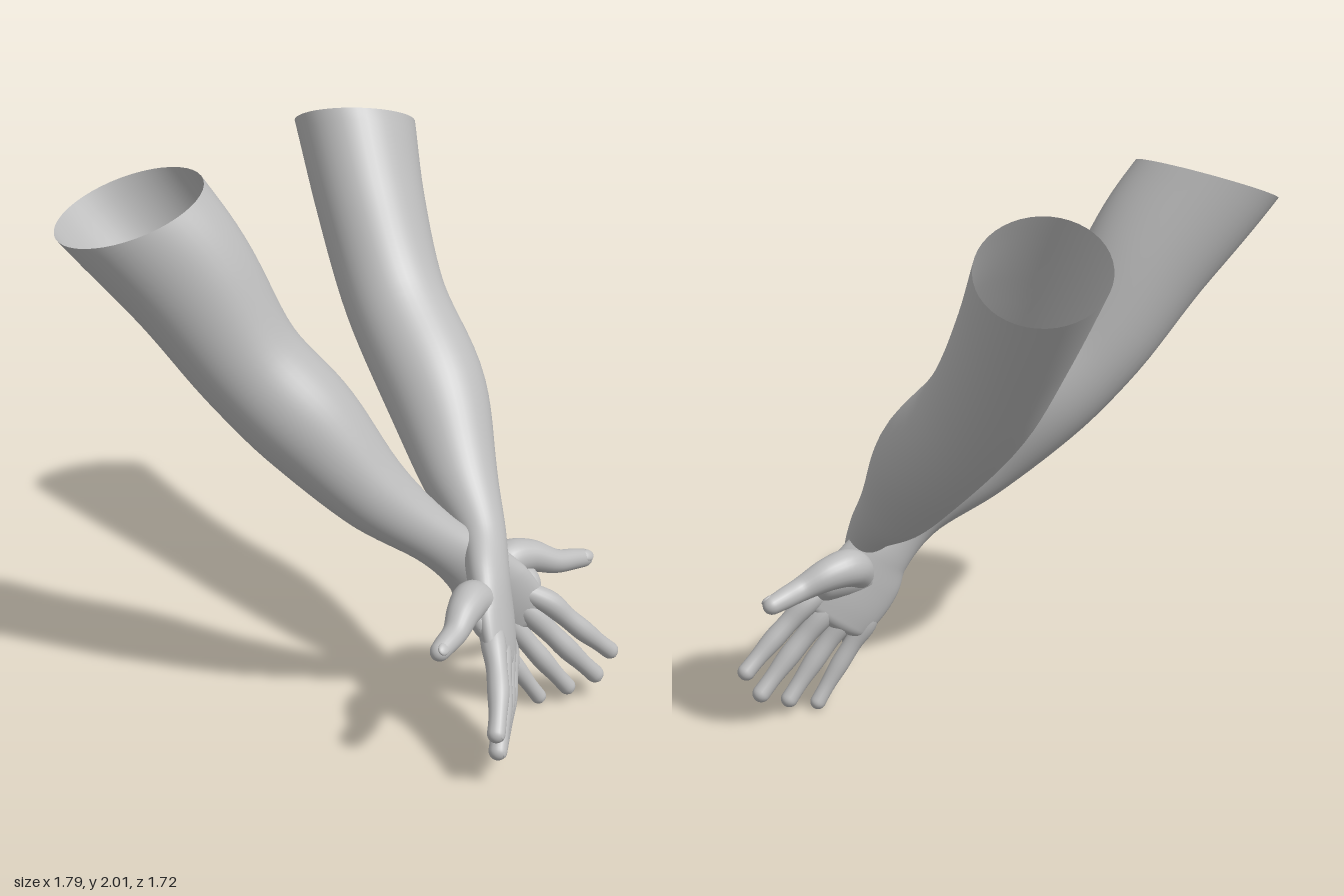
import * as THREE from 'three';

const V = (x, y, z) => new THREE.Vector3(x, y, z);

// Lofts elliptical rings along points; widths and depths are the half sizes at each point.
// "wide" sets the width axis, "mouth" the plane of an open first ring; the far end is rounded.
function loft(points, widths, depths, wide, rings, sides, mouth) {
  const path = new THREE.CatmullRomCurve3(points);
  const size = new THREE.CatmullRomCurve3(
    widths.map((w, i) => V(w, depths[i], 0)), false, 'catmullrom');
  const end = path.getPoint(1);
  const pos = [], index = [];
  for (let i = 0; i <= rings; i++) {
    const u = Math.sin((i / rings) * Math.PI / 2);
    const p = path.getPoint(u);
    const t = path.getTangent(u);
    if (mouth) t.lerp(mouth, Math.max(0, 1 - 7 * u)).normalize();
    const w = wide.clone().addScaledVector(t, -wide.dot(t)).normalize();
    const b = t.clone().cross(w);
    const r = size.getPoint(u);
    const d = Math.min(1, p.distanceTo(end) / r.y);
    const k = Math.max(0.02, Math.sqrt(1 - (1 - d) ** 2));
    for (let j = 0; j < sides; j++) {
      const q = (j / sides) * Math.PI * 2;
      const v = p.clone()
        .addScaledVector(w, r.x * k * Math.cos(q))
        .addScaledVector(b, r.y * k * Math.sin(q));
      pos.push(v.x, v.y, v.z);
      if (i < rings) {
        const a = i * sides + j, n = i * sides + (j + 1) % sides;
        index.push(a, n, a + sides, n, n + sides, a + sides);
      }
    }
  }
  const g = new THREE.BufferGeometry();
  g.setAttribute('position', new THREE.Float32BufferAttribute(pos, 3));
  g.setIndex(index);
  g.computeVertexNormals();
  return g;
}

// Half sizes from the open end to the knuckles, shared by both arms
const ARM_WIDTHS = [0.265, 0.232, 0.195, 0.188, 0.138, 0.098, 0.118, 0.142, 0.138, 0.112];
const ARM_DEPTHS = [0.218, 0.198, 0.187, 0.187, 0.138, 0.085, 0.07, 0.062, 0.052, 0.035];
const THUMB_RADII = [0.05, 0.068, 0.06, 0.044, 0.038, 0.03];

// Each finger: its radius and how far it reaches past the line from index to little finger
const FINGERS = [
  { name: 'indexFinger', radius: 0.037, reach: 0 },
  { name: 'middleFinger', radius: 0.038, reach: 0.055 },
  { name: 'ringFinger', radius: 0.036, reach: 0.033 },
  { name: 'littleFinger', radius: 0.033, reach: 0 },
];

function addMesh(parent, name, geometry, material) {
  const mesh = new THREE.Mesh(geometry, material);
  mesh.name = name;
  parent.add(mesh);
  return mesh;
}

// Thin oval nail lying on the back of a fingertip
function addNail(parent, name, tip, dir, up, r, skin) {
  const x = dir.clone().cross(up).normalize();
  const y = x.clone().cross(dir).normalize();
  const nail = addMesh(parent, name, new THREE.SphereGeometry(1, 16, 10), skin);
  nail.quaternion.setFromRotationMatrix(
    new THREE.Matrix4().makeBasis(x, y, dir.clone().negate()));
  nail.scale.set(r * 0.66, r * 0.32, r * 0.85);
  nail.position.copy(tip).addScaledVector(dir, -r * 1.05).addScaledVector(y, r * 0.76);
}

// limb: open end to palm heel; knuckles and tips: [index, little finger]
function buildArm(name, { mouth, limb, palmEnd, thumb, knuckles, tips }, skin) {
  const group = new THREE.Group();
  group.name = name;
  const heel = limb[limb.length - 1];
  const wide = knuckles[1].clone().sub(knuckles[0]).normalize();
  const dorsal = wide.clone().cross(palmEnd.clone().sub(heel)).normalize();
  if (dorsal.z < 0) dorsal.negate();

  // Upper arm, forearm and palm in one smooth skin
  const palm = [1, 2, 3].map((i) => heel.clone().lerp(palmEnd, i / 3));
  addMesh(group, 'armAndPalm', loft([...limb, ...palm], ARM_WIDTHS, ARM_DEPTHS,
    wide, 90, 44, mouth.normalize()), skin);

  // Thumb, rooted in the palm
  const last = thumb[thumb.length - 1], joint = thumb[thumb.length - 2];
  const thumbPath = [palm[0], ...thumb.slice(0, -1), joint.clone().lerp(last, 0.5), last];
  addMesh(group, 'thumb', loft(thumbPath, THUMB_RADII, THUMB_RADII,
    V(0, 0.7, -0.7), 44, 24), skin);
  addNail(group, 'thumbNail', last, last.clone().sub(joint).normalize(),
    V(0, 0.65, 0.75), 0.033, skin);

  // Web of skin between thumb and index finger
  const web = [palm[0], thumb[1].clone().lerp(knuckles[0], 0.55)];
  addMesh(group, 'thumbWeb', loft(web, [0.085, 0.06], [0.058, 0.036],
    thumb[1].clone().sub(knuckles[0]).normalize(), 24, 28), skin);

  // Fingers, rooted in the palm and slightly arched, thicker at the joints
  FINGERS.forEach(({ name: finger, radius, reach }, i) => {
    const knuckle = knuckles[0].clone().lerp(knuckles[1], i / 3);
    const tip = tips[0].clone().lerp(tips[1], i / 3);
    const dir = tip.clone().sub(knuckle).normalize();
    knuckle.addScaledVector(dir, reach * 0.35);
    tip.addScaledVector(dir, reach);
    const points = [knuckle.clone().lerp(heel, 0.35)];
    const radii = [radius];
    for (let j = 0; j <= 4; j++) {
      const f = j / 4;
      points.push(knuckle.clone().lerp(tip, f)
        .addScaledVector(dorsal, 0.014 * Math.sin(f * Math.PI) + 0.004 * (1 - f)));
      radii.push(radius * (1.13 - 0.31 * f + 0.05 * Math.cos(f * Math.PI * 4)));
    }
    addMesh(group, finger, loft(points, radii, radii, wide, 36, 20), skin);
    addNail(group, finger + 'Nail', tip, dir, dorsal, radius * 0.85, skin);
  });
  return group;
}

export function createModel() {
  const skin = new THREE.MeshStandardMaterial({ color: 0xbcbcbc, side: THREE.DoubleSide });
  skin.name = 'skin grey';
  const model = new THREE.Group();
  model.name = 'crossedArms';

  model.add(buildArm('leftArm', {
    mouth: V(-0.34, -1, 0.35),
    limb: [
      V(0.655, 1.9, -0.635), V(0.565, 1.64, -0.47), V(0.475, 1.34, -0.26), V(0.395, 1.08, 0.01),
      V(0.29, 0.84, 0.23), V(0.21, 0.69, 0.41), V(0.115, 0.57, 0.53),
    ],
    palmEnd: V(0.03, 0.31, 0.675),
    thumb: [V(-0.01, 0.565, 0.57), V(-0.095, 0.56, 0.6), V(-0.18, 0.52, 0.635), V(-0.32, 0.49, 0.67)],
    knuckles: [V(-0.02, 0.43, 0.665), V(0.125, 0.33, 0.61)],
    tips: [V(-0.215, 0.195, 0.855), V(-0.015, 0.04, 0.705)],
  }, skin));

  model.add(buildArm('rightArm', {
    mouth: V(0.4, -1, 0.05),
    limb: [
      V(-0.66, 1.905, -0.415), V(-0.515, 1.65, -0.28), V(-0.38, 1.35, -0.145), V(-0.25, 1.13, 0.01),
      V(-0.11, 0.88, 0.19), V(0.05, 0.7, 0.34), V(0.175, 0.57, 0.415),
    ],
    palmEnd: V(0.34, 0.31, 0.505),
    thumb: [V(0.32, 0.555, 0.43), V(0.41, 0.555, 0.455), V(0.505, 0.517, 0.505), V(0.67, 0.487, 0.535)],
    knuckles: [V(0.4, 0.41, 0.57), V(0.235, 0.315, 0.43)],
    tips: [V(0.63, 0.165, 0.695), V(0.405, 0.005, 0.545)],
  }, skin));

  return model;
}
